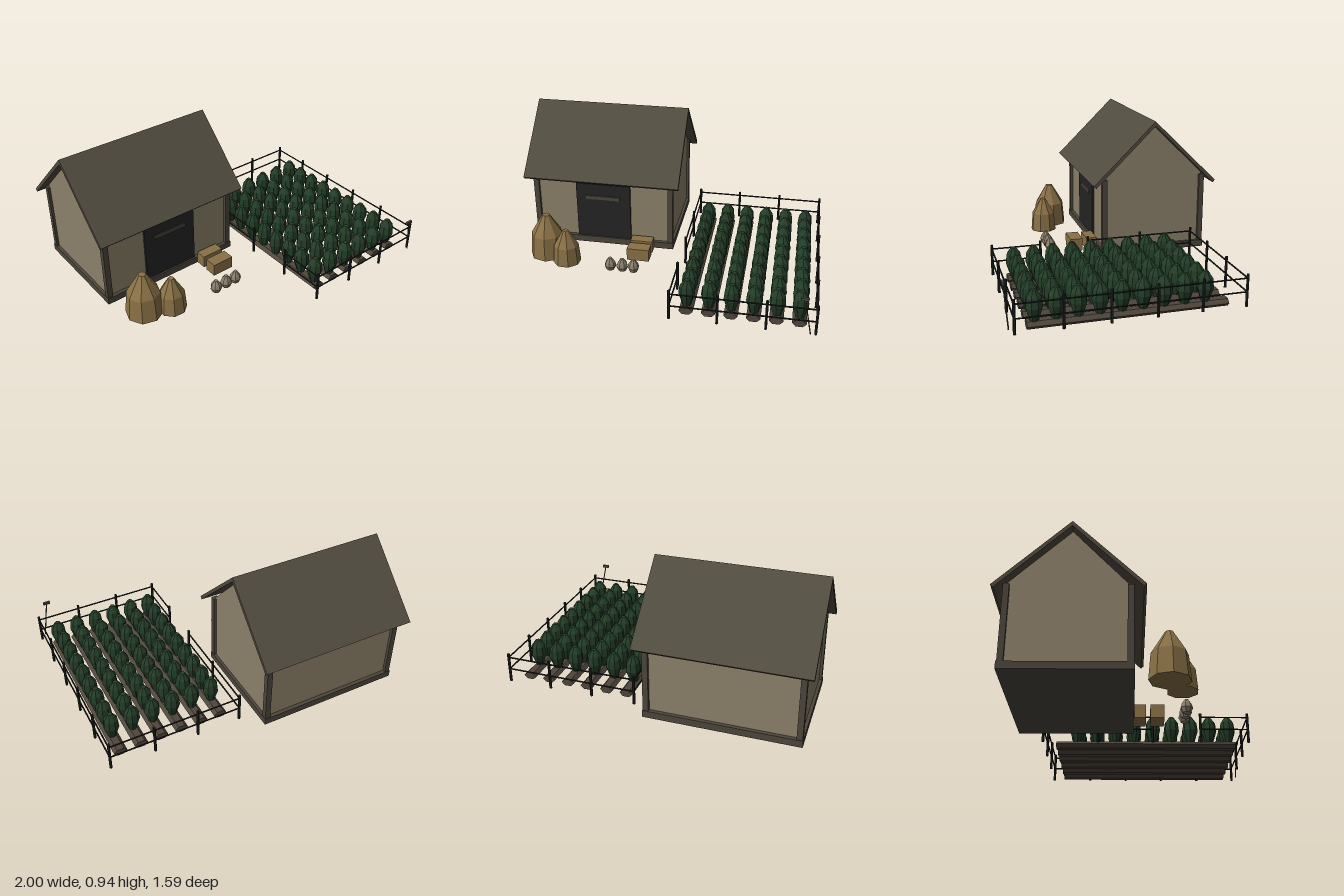
import * as THREE from 'three';

const mat = (name, color, flat = false) => {
  const m = new THREE.MeshStandardMaterial({ color });
  m.name = name;
  m.flatShading = flat;
  return m;
};

export function createModel() {
  const model = new THREE.Group();
  model.name = 'farmstead';
  const M = {
    wall: mat('plaster', 0x8b8069),
    roof: mat('roofBoards', 0x504b3f),
    timber: mat('timber', 0x4b463c),
    door: mat('doorDark', 0x242424),
    hay: mat('hay', 0x8a7146, true),
    soil: mat('soil', 0x4f463c, true),
    leaf: mat('leaf', 0x233d28, true),
    fence: mat('fenceIron', 0x1e1f20, true),
    sack: mat('sackcloth', 0x8c806d, true),
  };
  const group = (name) => {
    const g = new THREE.Group();
    g.name = name;
    model.add(g);
    return g;
  };
  const add = (parent, name, geo, material, x = 0, y = 0, z = 0) => {
    const mesh = new THREE.Mesh(geo, material);
    mesh.name = name;
    mesh.position.set(x, y, z);
    parent.add(mesh);
    return mesh;
  };
  // Box given by its limits on each axis
  const box = (parent, name, material, [x0, x1], [y0, y1], [z0, z1]) =>
    add(parent, name, new THREE.BoxGeometry(x1 - x0, y1 - y0, z1 - z0), material,
      (x0 + x1) / 2, (y0 + y1) / 2, (z0 + z1) / 2);
  // Outline of [z, y] points extruded along x
  const extrudeX = (points, x0, x1) => {
    const shape = new THREE.Shape(points.map(([z, y]) => new THREE.Vector2(-z, y)));
    return new THREE.ExtrudeGeometry(shape, { depth: x1 - x0, bevelEnabled: false })
      .rotateY(Math.PI / 2).translate(x0, 0, 0);
  };
  const lathe = (points, sides) =>
    new THREE.LatheGeometry(points.map(([r, y]) => new THREE.Vector2(r, y)), sides);
  // Thin round bar between two points
  const bar = (parent, name, material, a, b, radius) => {
    const from = new THREE.Vector3(...a), to = new THREE.Vector3(...b);
    const mesh = add(parent, name,
      new THREE.CylinderGeometry(radius, radius, from.distanceTo(to), 6), material);
    mesh.position.copy(from).lerp(to, 0.5);
    mesh.quaternion.setFromUnitVectors(new THREE.Vector3(0, 1, 0), to.sub(from).normalize());
    return mesh;
  };

  // Barn
  const barn = group('barn');
  box(barn, 'foundation', M.timber, [-0.96, 0.012], [0.035, 0.08], [-0.735, -0.005]);
  add(barn, 'walls', extrudeX(
    [[-0.03, 0.08], [-0.03, 0.555], [-0.36, 0.912], [-0.71, 0.565], [-0.71, 0.08]].reverse(),
    -0.94, -0.008), M.wall);
  for (const x of [-0.957, -0.027])
    for (const z of [-0.73, -0.045])
      box(barn, 'cornerPost', M.timber, [x, x + 0.036], [0.08, 0.553], [z, z + 0.035]);
  box(barn, 'door', M.door, [-0.66, -0.285], [0.08, 0.48], [-0.035, -0.016]);
  box(barn, 'doorBar', M.timber, [-0.59, -0.355], [0.37, 0.395], [-0.017, -0.008]);
  add(barn, 'frontRoof', extrudeX(
    [[-0.358, 0.94], [0.06, 0.53], [0.044, 0.514], [-0.358, 0.909]], -1, 0.055), M.roof);
  add(barn, 'backRoof', extrudeX(
    [[-0.358, 0.94], [-0.358, 0.909], [-0.775, 0.504], [-0.791, 0.52]], -1, 0.055), M.roof);

  // Haystacks, bales and sacks
  const yard = group('yardStores');
  const stacks = [[-0.815, 0.185, 0.12, 0.295], [-0.66, 0.262, 0.092, 0.235]];
  stacks.forEach(([x, z, r, h], i) => {
    const stack = add(yard, 'haystack', lathe(
      [[0, 0], [r, 0], [r * 0.88, h * 0.54], [r * 0.2, h], [0, h]], 8), M.hay, x, 0.035, z);
    stack.rotation.y = 0.1 + i * 0.25;
  });
  box(yard, 'hayBale', M.hay, [-0.27, -0.12], [0.035, 0.12], [0.095, 0.18]);
  box(yard, 'hayBale', M.hay, [-0.27, -0.12], [0.035, 0.12], [-0.004, 0.068]);
  const sackGeo = lathe(
    [[0, 0], [0.026, 0], [0.039, 0.03], [0.032, 0.055], [0.012, 0.085], [0, 0.087]], 7);
  [-0.35, -0.27, -0.195].forEach((x, i) => {
    add(yard, 'sack', sackGeo, M.sack, x, 0.035, 0.307).rotation.y = i * 0.6;
  });

  // Crop field: raised beds with nine plants each
  const field = group('cropField');
  const bedGeo = new THREE.CylinderGeometry(0.043, 0.043, 1.18, 6)
    .rotateY(Math.PI / 2).rotateX(Math.PI / 2).scale(1, 0.6, 1);
  const plantGeo = lathe(
    [[0, 0], [0.025, 0], [0.051, 0.083], [0.045, 0.14], [0.016, 0.182], [0, 0.184]], 8);
  for (let row = 0; row < 6; row++) {
    const x = 0.21 + row * 0.1365;
    add(field, 'soilBed', bedGeo, M.soil, x, 0.0225, 0.077);
    for (let i = 0; i < 9; i++) {
      const plant = add(field, 'plant', plantGeo, M.leaf, x, 0.041, -0.376 + i * 0.1248);
      plant.rotation.y = row * 1.3 + i * 0.9;
    }
  }

  // Fence with a gateway on the barn side
  const fence = group('fence');
  const [xl, xr, zb, zf] = [0.12, 0.988, -0.595, 0.745];
  const postGeo = new THREE.CylinderGeometry(0.009, 0.009, 0.2, 6);
  const posts = [];
  for (const z of [zb, zf])
    for (const x of [xl, 0.41, 0.699, xr]) posts.push([x, z]);
  for (const z of [-0.327, -0.059, 0.209, 0.477]) posts.push([xr, z]);
  for (const z of [-0.237, 0.12, 0.435]) posts.push([xl, z]);
  for (const [x, z] of posts) add(fence, 'fencePost', postGeo, M.fence, x, 0.117, z);
  for (const y of [0.107, 0.191]) {
    bar(fence, 'backRail', M.fence, [xl, y, zb], [xr, y, zb], 0.005);
    bar(fence, 'frontRail', M.fence, [xl, y, zf], [xr, y, zf], 0.005);
    bar(fence, 'leftRail', M.fence, [xr, y, zb], [xr, y, zf], 0.005);
    bar(fence, 'rightRail', M.fence, [xl, y, zb], [xl, y, 0.12], 0.005);
    bar(fence, 'rightRail', M.fence, [xl, y, 0.435], [xl, y, zf], 0.005);
  }

  // Hoe leaning by the fence
  const hoe = group('hoe');
  bar(hoe, 'hoeHandle', M.timber, [0.957, 0.035, 0.772], [0.909, 0.285, 0.787], 0.004);
  box(hoe, 'hoeHead', M.timber, [0.885, 0.932], [0.276, 0.294], [0.78, 0.795]);

  return model;
}
